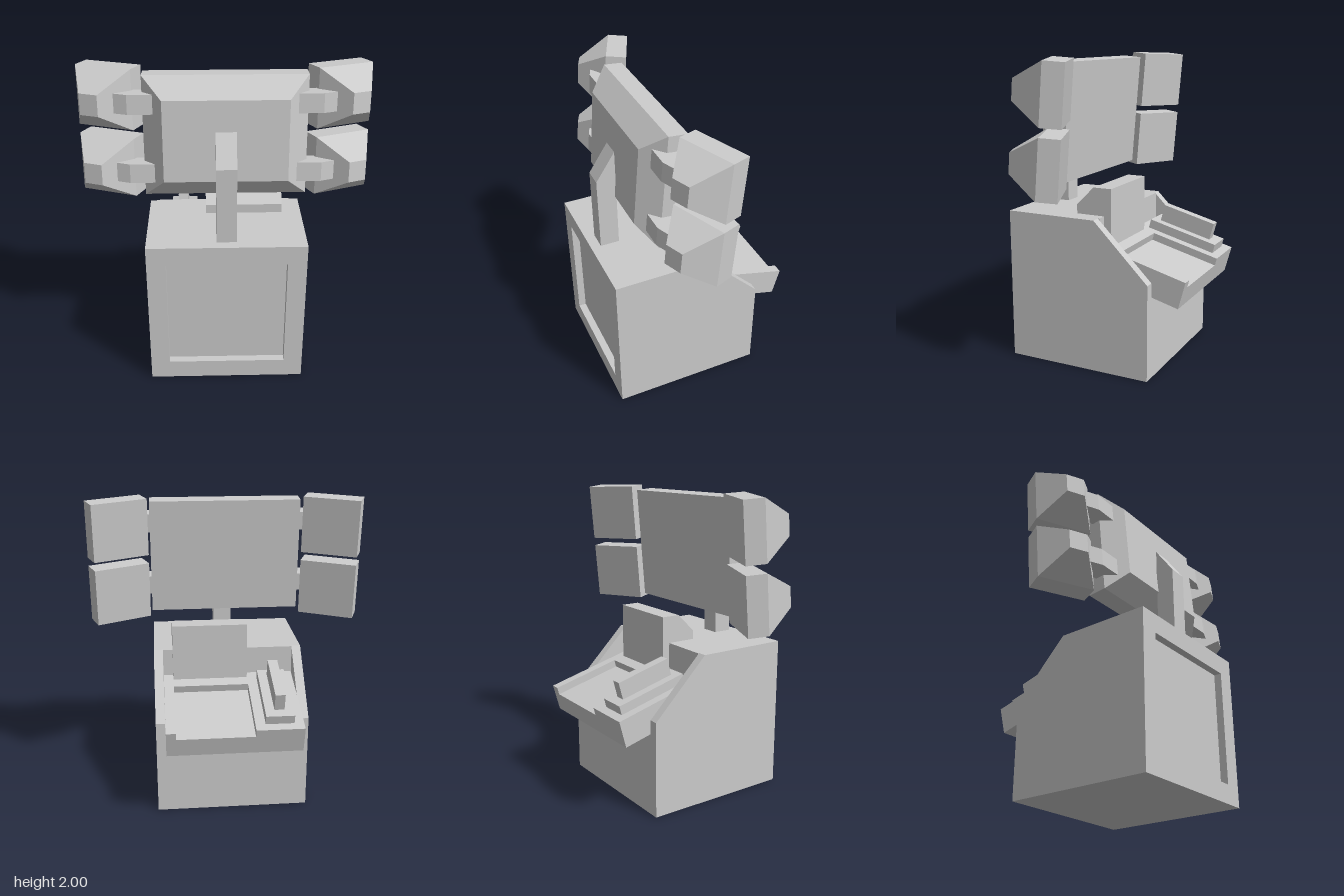
import * as THREE from 'three';

const material = new THREE.MeshStandardMaterial({ color: 0xcccccc, flatShading: true });

function add(parent, name, geometry) {
  const mesh = new THREE.Mesh(geometry, material);
  mesh.name = name;
  parent.add(mesh);
  return mesh;
}

// Box given by its limits on each axis
function block(parent, name, [x0, x1], [y0, y1], [z0, z1]) {
  const g = new THREE.BoxGeometry(x1 - x0, y1 - y0, z1 - z0);
  g.translate((x0 + x1) / 2, (y0 + y1) / 2, (z0 + z1) / 2);
  return add(parent, name, g);
}

const shapeOf = (points) => new THREE.Shape(points.map(([a, b]) => new THREE.Vector2(a, b)));
const rectangle = (x0, x1, y0, y1) => [[x0, y0], [x1, y0], [x1, y1], [x0, y1]];

// Side profile of [z, y] points, extruded from x0 to x1
function sideProfile(parent, name, points, x0, x1) {
  const g = new THREE.ExtrudeGeometry(shapeOf(points), { depth: x1 - x0, bevelEnabled: false });
  g.rotateY(-Math.PI / 2);
  g.translate(x1, 0, 0);
  return add(parent, name, g);
}

// Screen housing: straight slab behind z = 0, tapering to a smaller face in front
function housing(halfW, halfH, back, front, faceW, faceH) {
  const g = new THREE.BoxGeometry(2, 2, 2, 1, 1, 2);
  const p = g.attributes.position;
  for (let i = 0; i < p.count; i++) {
    const z = p.getZ(i);
    const isFace = z > 0.5;
    p.setXYZ(i,
      p.getX(i) * (isFace ? faceW : halfW),
      p.getY(i) * (isFace ? faceH : halfH),
      z < -0.5 ? -back : isFace ? front : 0);
  }
  const flat = g.toNonIndexed();
  flat.computeVertexNormals();
  return flat;
}

function createCabinet() {
  const cabinet = new THREE.Group();
  cabinet.name = 'cabinet';
  // Core with an open well for the desk, and sloped side walls
  sideProfile(cabinet, 'cabinetCore',
    [[0.56, 0], [0.56, 1], [-0.02, 1], [-0.02, 0.6], [-0.38, 0.6], [-0.38, 0]], -0.435, 0.435);
  const wall = [[0.56, 0], [0.56, 1], [-0.01, 1], [-0.38, 0.63], [-0.38, 0]];
  sideProfile(cabinet, 'leftWall', wall, 0.435, 0.495);
  sideProfile(cabinet, 'rightWall', wall, -0.495, -0.435);
  // Front frame around the recessed panel
  const frame = shapeOf(rectangle(-0.495, 0.495, 0, 1));
  frame.holes.push(new THREE.Path(rectangle(-0.375, 0.375, 0.125, 0.875)
    .map(([x, y]) => new THREE.Vector2(x, y))));
  const g = new THREE.ExtrudeGeometry(frame, { depth: 0.05, bevelEnabled: false });
  add(cabinet, 'frontFrame', g.translate(0, 0, 0.56));
  // Raised block behind the desk
  sideProfile(cabinet, 'raisedBlock',
    [[0.175, 0.95], [0.175, 1.06], [0.055, 1.18], [-0.07, 1.18], [-0.07, 0.72], [-0.01, 0.72], [-0.01, 0.95]],
    -0.125, 0.37);
  // Post that carries the screens
  sideProfile(cabinet, 'screenPost',
    [[0.545, 0.99], [0.545, 1.49], [0.42, 1.675], [0.42, 0.99]], -0.062, 0.062);
  return cabinet;
}

function createDesk() {
  // Local origin is the upper rear edge; the desk rises towards the front
  const desk = new THREE.Group();
  desk.name = 'desk';
  desk.position.set(0, 0.665, -0.603);
  desk.rotation.x = -0.26;
  block(desk, 'deskSlab', [-0.433, 0.433], [-0.18, -0.05], [0, 0.62]);
  block(desk, 'controlShelf', [-0.433, -0.125], [-0.05, 0], [0, 0.62]);
  block(desk, 'sideRim', [0.37, 0.433], [-0.05, 0], [0, 0.62]);
  block(desk, 'innerRim', [-0.125, 0.37], [-0.05, 0], [0.473, 0.62]);
  block(desk, 'controlPlate', [-0.372, -0.19], [0, 0.06], [0.057, 0.545]);
  block(desk, 'controlBar', [-0.314, -0.25], [0.06, 0.175], [0.121, 0.495]);
  return desk;
}

function createScreens() {
  const screens = new THREE.Group();
  screens.name = 'screens';
  screens.position.set(0, 1.598, 0.29);
  screens.rotation.x = -0.085;
  add(screens, 'mainScreen', housing(0.495, 0.375, 0.12, 0.12, 0.375, 0.252));

  // Arm outline as [x, z], seen from above
  const arm = [[0.43, 0.065], [0.58, 0.065], [0.665, 0.03], [0.665, -0.02], [0.55, -0.06], [0.44, -0.06]];
  for (const side of [1, -1]) {
    for (const level of [1, -1]) {
      const y = level * 0.215;
      const monitor = add(screens, 'sideScreen', housing(0.187, 0.187, 0.13, 0.185, 0.06, 0.065));
      monitor.position.set(side * 0.73, y, -0.107);
      monitor.rotation.y = side * 0.4;

      const g = new THREE.ExtrudeGeometry(
        shapeOf(arm.map(([x, z]) => [side * x, -z])), { depth: 0.12, bevelEnabled: false });
      g.rotateX(-Math.PI / 2);
      add(screens, 'screenArm', g).position.y = y - 0.06;
    }
  }
  return screens;
}

export function createModel() {
  const model = new THREE.Group();
  model.name = 'controlConsole';
  model.add(createCabinet(), createDesk(), createScreens());
  return model;
}
